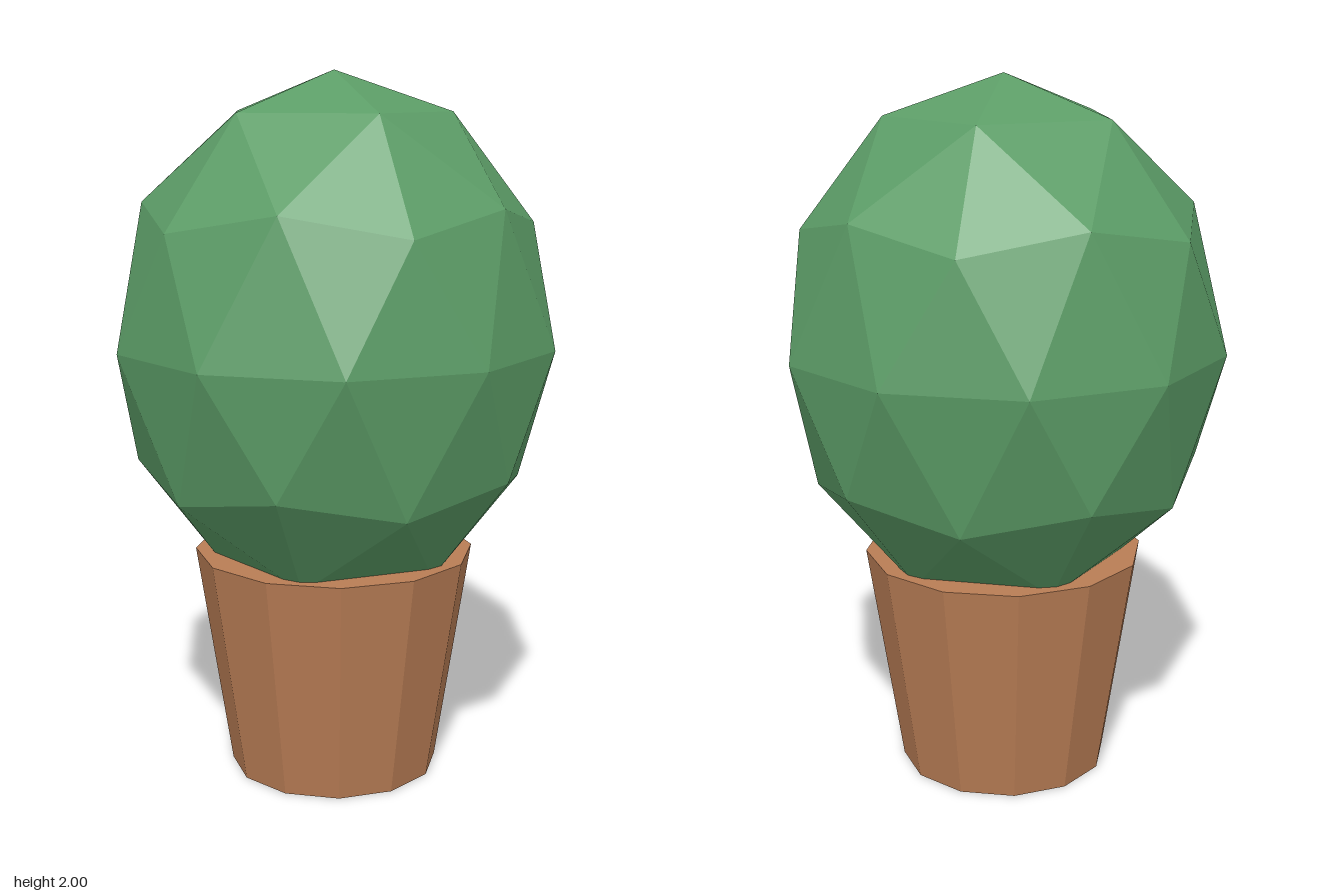
import * as THREE from 'three';

export function createModel() {
  const group = new THREE.Group();

  const leafGreen = new THREE.MeshStandardMaterial({ color: 0x5c9d67, flatShading: true });
  leafGreen.name = 'leaf green';
  const terracotta = new THREE.MeshStandardMaterial({ color: 0xb97d55, flatShading: true });
  terracotta.name = 'terracotta';

  // Twelve-sided tapered pot, closed at both ends
  const potHeight = 0.65;
  const pot = new THREE.Mesh(new THREE.CylinderGeometry(0.4, 0.3, potHeight, 12), terracotta);
  pot.name = 'pot';
  pot.position.y = potHeight / 2;
  group.add(pot);

  // Faceted egg of leaves: an icosphere turned to put a corner on top, then stretched
  const leaves = new THREE.IcosahedronGeometry(1, 1);
  leaves.rotateZ(-Math.atan(2 / (1 + Math.sqrt(5))));
  leaves.scale(0.625, 0.75, 0.625);
  leaves.computeVertexNormals();
  const foliage = new THREE.Mesh(leaves, leafGreen);
  foliage.name = 'foliage';
  foliage.position.y = 1.25;
  group.add(foliage);

  return group;
}
